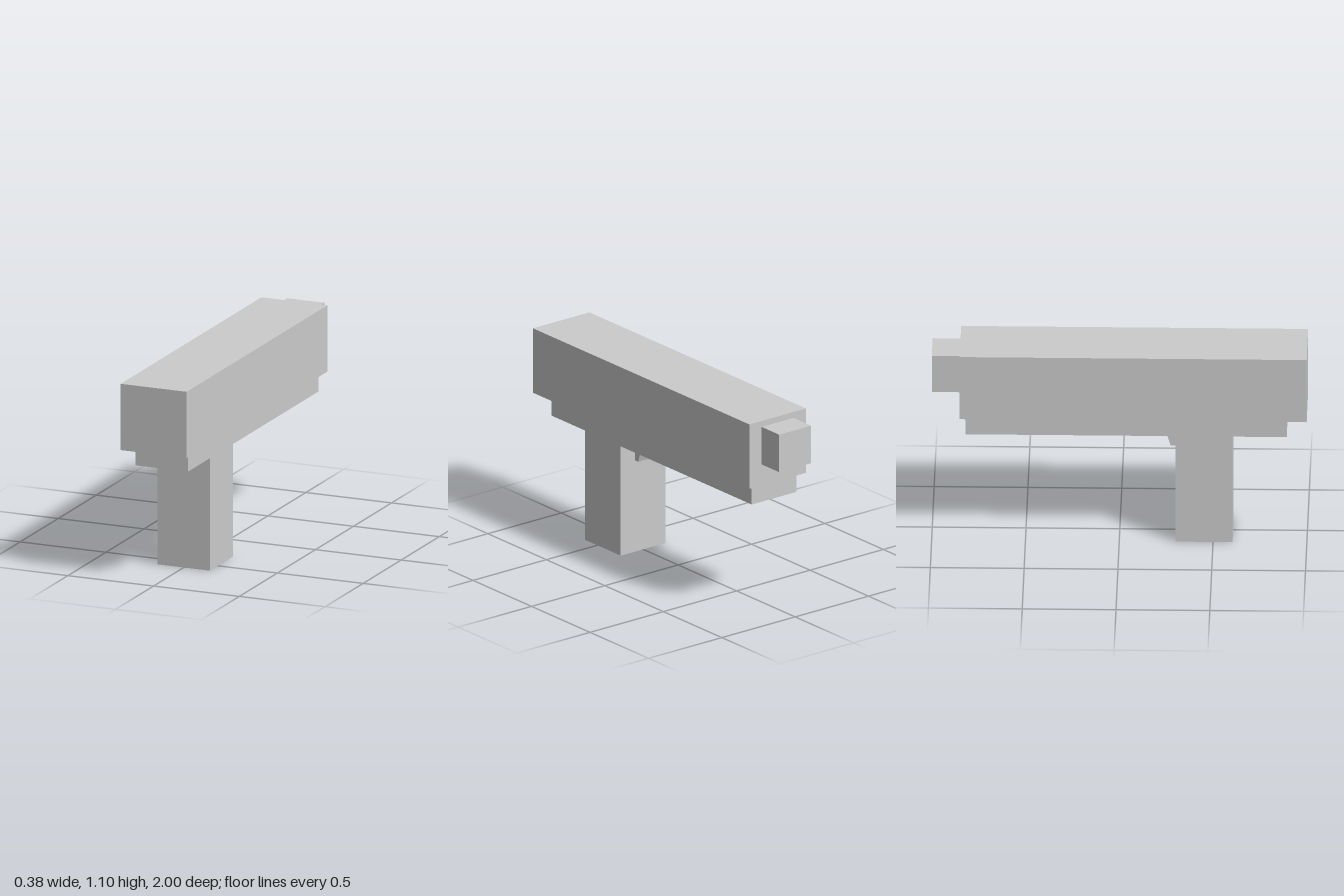
import * as THREE from 'three';

const material = new THREE.MeshStandardMaterial({ color: 0xcccccc, flatShading: true });

// Box centred on x, spanning the given y and z ranges
function block(name, width, [y0, y1], [z0, z1]) {
  const mesh = new THREE.Mesh(new THREE.BoxGeometry(width, y1 - y0, z1 - z0), material);
  mesh.name = name;
  mesh.position.set(0, (y0 + y1) / 2, (z0 + z1) / 2);
  return mesh;
}

// Tapered wedge: side profile drawn as (-z, y), extruded across x
function makeTrigger() {
  const width = 0.11;
  const profile = new THREE.Shape([
    [-0.3, 0.52], [-0.272, 0.52], [-0.24, 0.623], [-0.3, 0.623],
  ].map(([u, y]) => new THREE.Vector2(u, y)));
  const geometry = new THREE.ExtrudeGeometry(profile, { depth: width, bevelEnabled: false });
  geometry.translate(0, 0, -width / 2).rotateY(Math.PI / 2);
  const mesh = new THREE.Mesh(geometry, material);
  mesh.name = 'trigger';
  return mesh;
}

export function createModel() {
  const model = new THREE.Group();
  model.name = 'blockPistol';
  model.add(
    block('slide', 0.385, [0.731, 1.098], [-0.85, 1]),
    block('muzzle', 0.217, [0.85, 1.064], [-1, -0.85]),
    block('frame', 0.305, [0.623, 0.731], [-0.82, 0.893]),
    block('grip', 0.305, [0, 0.623], [0.3, 0.604]),
    makeTrigger(),
  );
  return model;
}
